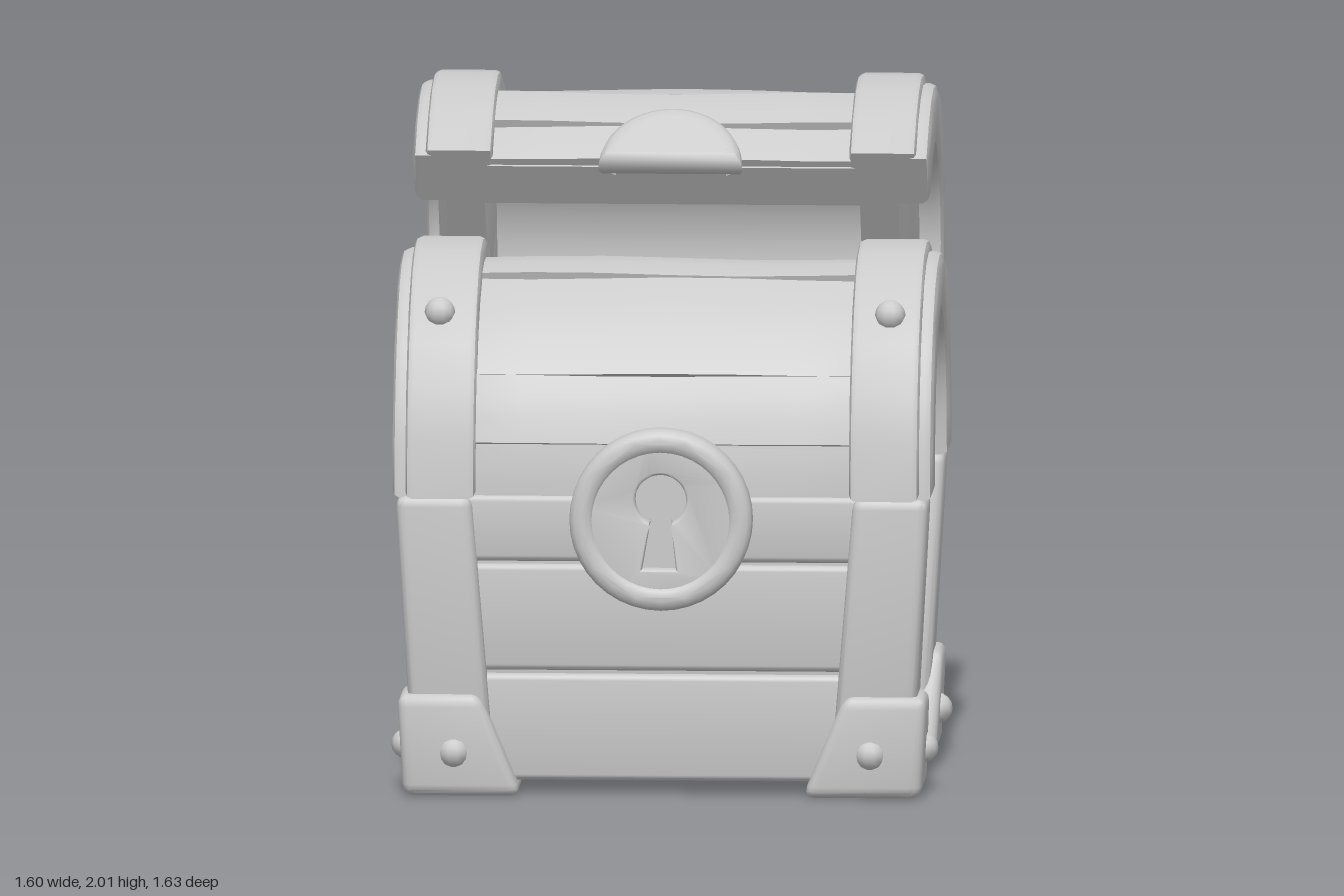
import * as THREE from 'three';
import { toCreasedNormals } from 'three/addons/utils/BufferGeometryUtils.js';
import { RoundedBoxGeometry } from 'three/addons/geometries/RoundedBoxGeometry.js';

const CZ = 0.14; // middle of the chest body in z
const grey = new THREE.MeshStandardMaterial({ color: 0xcccccc });

function add(parent, name, geometry, x = 0, y = 0, z = 0) {
  const mesh = new THREE.Mesh(geometry, grey);
  mesh.name = name;
  mesh.position.set(x, y, z);
  parent.add(mesh);
  return mesh;
}

// Rounded block whose bottom and top rectangles [x0, x1, z0, z1] may differ
function taperedBlock(y0, y1, bottom, top, radius) {
  const g = new RoundedBoxGeometry(bottom[1] - bottom[0], y1 - y0, bottom[3] - bottom[2], 2, radius);
  g.computeBoundingBox();
  const { min, max } = g.boundingBox;
  const p = g.attributes.position;
  const mix = THREE.MathUtils.lerp;
  for (let i = 0; i < p.count; i++) {
    const u = (p.getX(i) - min.x) / (max.x - min.x);
    const v = (p.getY(i) - min.y) / (max.y - min.y);
    const w = (p.getZ(i) - min.z) / (max.z - min.z);
    p.setXYZ(i,
      mix(mix(bottom[0], top[0], v), mix(bottom[1], top[1], v), u),
      mix(y0, y1, v),
      mix(mix(bottom[2], top[2], v), mix(bottom[3], top[3], v), w));
  }
  return toCreasedNormals(g, 0.7);
}

// Sector of a slightly squared elliptical arch, extruded along x, centred on x = 0
function archGeometry(t0, t1, segments, outer, inner, width, bevel, steps = 1) {
  const full = (c) => Math.sign(c) * Math.abs(c) ** 0.94;
  const arc = ([a, b]) => Array.from({ length: segments + 1 }, (_, i) => {
    const t = t0 + (t1 - t0) * i / segments;
    return new THREE.Vector2(a * full(Math.cos(t)), b * full(Math.sin(t)));
  });
  const shape = new THREE.Shape([...arc(outer), ...arc(inner).reverse()]);
  const g = new THREE.ExtrudeGeometry(shape, {
    depth: width - 2 * bevel, steps, bevelThickness: bevel, bevelSize: bevel,
    bevelOffset: -bevel, bevelSegments: 2,
  });
  g.translate(0, 0, bevel - width / 2);
  g.rotateY(-Math.PI / 2);
  return g;
}

// Uneven, hand-cut surface for the planks
function wobble(g, amount, seed) {
  const p = g.attributes.position;
  for (let i = 0; i < p.count; i++) {
    const x = p.getX(i), y = p.getY(i), z = p.getZ(i);
    const s = 1 + amount * Math.sin(6 * x + 4 * y + 3 * z + seed * 2.3);
    p.setXYZ(i, x, y * s, z * s);
  }
  return g;
}

function rivet(parent, x, y, z) {
  add(parent, 'rivet', new THREE.SphereGeometry(0.045, 10, 8), x, y, z);
}

// Arched lid, hollow underneath; its origin is the middle of the rim
function makeLid(name) {
  const lid = new THREE.Group();
  lid.name = name;
  const arch = (...args) => toCreasedNormals(archGeometry(0, Math.PI, 14, ...args), 0.6);
  const breaks = [0, 0.23, 0.58, 1.3, 1.84, 2.52, 2.91, Math.PI];
  for (let i = 0; i < breaks.length - 1; i++) {
    const bump = 0.01 * (i % 2);
    const g = archGeometry(breaks[i] + 0.008, breaks[i + 1] - 0.008, 3,
      [0.56 + bump, 0.617 + bump], [0.4, 0.48], 1.24, 0.012, 6);
    add(lid, 'lidPlank', toCreasedNormals(wobble(g, 0.008, i), 0.6));
  }
  add(lid, 'lidLining', arch([0.535, 0.595], [0.39, 0.47], 1.22, 0.005));
  for (const side of [-1, 1]) {
    // band with a lower step on its outer edge
    add(lid, 'lidBand', arch([0.595, 0.69], [0.4, 0.49], 0.205, 0.02), side * 0.65);
    add(lid, 'lidBandStep', arch([0.575, 0.655], [0.4, 0.49], 0.1, 0.025), side * 0.742);
    // horizontal end planks, each as wide as the arch allows
    [[0, 0.165, 0.5], [0.175, 0.33, 0.43], [0.34, 0.54, 0.3]].forEach(([y0, y1, half], i) => {
      const g = new RoundedBoxGeometry(0.07, y1 - y0, 2 * half, 2, 0.015);
      const plank = add(lid, 'lidEndPlank', g, side * (0.685 + 0.008 * (i % 2)), (y0 + y1) / 2, 0);
      plank.rotation.x = 0.02 * (i - 1);
    });
    add(lid, 'lidEndLining', arch([0.45, 0.53], [0.01, 0.01], 0.12, 0.002), side * 0.635);
  }
  return lid;
}

function makeBase() {
  const base = new THREE.Group();
  base.name = 'base';
  base.position.z = CZ;
  // three courses of planks around a core, widening upwards
  const at = (y, inset) => {
    const x = 0.68 + 0.035 * y - inset, z = 0.525 + 0.035 * y - inset;
    return [-x, x, -z, z];
  };
  add(base, 'core', taperedBlock(0.06, 0.86, at(0.06, 0.03), at(0.86, 0.03), 0.01));
  [[0.04, 0.355, 0], [0.365, 0.68, 0.012], [0.69, 0.885, 0]].forEach(([y0, y1, inset]) =>
    add(base, 'plankCourse', taperedBlock(y0, y1, at(y0, inset), at(y1, inset), 0.018)));

  for (const sx of [-1, 1]) {
    for (const sz of [-1, 1]) {
      const rect = (xi, xo, zi, zo) => [
        ...[sx * xi, sx * xo].sort((a, b) => a - b),
        ...[sz * zi, sz * zo].sort((a, b) => a - b)];
      add(base, 'cornerPost', taperedBlock(0.1, 0.885,
        rect(0.495, 0.735, 0.325, 0.565), rect(0.56, 0.78, 0.395, 0.6), 0.03));
      // corner foot sloping in towards the post
      add(base, 'cornerFoot', taperedBlock(0, 0.3,
        rect(0.41, 0.76, 0.255, 0.6), rect(0.535, 0.775, 0.38, 0.605), 0.035));
      rivet(base, sx * 0.61, 0.13, sz * 0.585);
      rivet(base, sx * 0.757, 0.13, sz * 0.41);
    }
  }
  return base;
}

// Round lock plate with a raised rim and a keyhole
function makeLock() {
  const lock = new THREE.Group();
  lock.name = 'lock';
  lock.position.set(0, 0.83, 0);
  const disc = new THREE.Shape().absarc(0, 0, 0.25, 0, Math.PI * 2);
  const hole = new THREE.Path();
  hole.moveTo(-0.055, -0.145);
  hole.lineTo(0.045, -0.145);
  hole.lineTo(0.03, 0);
  hole.absarc(0, 0.06, 0.075, -1.1, Math.PI + 1.1, false);
  hole.lineTo(-0.03, 0);
  hole.closePath();
  disc.holes.push(hole);
  const bevelled = (shape, depth, b) => toCreasedNormals(new THREE.ExtrudeGeometry(shape, {
    depth, curveSegments: 20, bevelThickness: b, bevelSize: b, bevelOffset: -b, bevelSegments: 3,
  }), 0.7);
  add(lock, 'lockPlate', bevelled(disc, 0.09, 0.008), 0, 0, 0.71);
  const rim = new THREE.Shape().absarc(0, 0, 0.268, 0, Math.PI * 2);
  rim.holes.push(new THREE.Path().absarc(0, 0, 0.195, 0, Math.PI * 2));
  add(lock, 'lockRim', bevelled(rim, 0.05, 0.03), 0, 0, 0.74);
  const back = new THREE.CylinderGeometry(0.24, 0.24, 0.1, 24).rotateX(Math.PI / 2);
  add(lock, 'lockBack', back, 0, 0, 0.71);
  return lock;
}

export function createModel() {
  const chest = new THREE.Group();
  chest.name = 'chest';
  chest.add(makeBase(), makeLock());

  // lid resting on the base
  const closedLid = makeLid('closedLid');
  closedLid.position.set(0, 0.88, CZ);
  for (const side of [-1, 1]) rivet(closedLid, side * 0.66, 0.525, 0.4);
  chest.add(closedLid);

  // second lid, swung open about the back edge
  const openLid = makeLid('openLid');
  openLid.position.set(0, 1.342, -0.118);
  openLid.rotation.x = -0.953;
  openLid.scale.set(0.955, 1.05, 1.025);
  // half-round hasp with a softly domed face
  const hasp = new THREE.Shape().absarc(0, 0, 0.22, 0, Math.PI);
  const haspGeometry = new THREE.ExtrudeGeometry(hasp, {
    depth: 0.02, curveSegments: 14, bevelThickness: 0.035, bevelSize: 0.05, bevelOffset: -0.05, bevelSegments: 3,
  });
  add(openLid, 'hasp', toCreasedNormals(haspGeometry, 0.7), 0, -0.025, 0.545);
  chest.add(openLid);

  // hinges at the back edge
  for (const side of [-1, 1]) {
    const barrel = new THREE.CylinderGeometry(0.045, 0.045, 0.28, 10).rotateZ(Math.PI / 2);
    add(chest, 'hingeBarrel', toCreasedNormals(barrel, 0.8), side * 0.34, 0.85, -0.46);
    add(chest, 'hingeLeaf', new RoundedBoxGeometry(0.2, 0.1, 0.04, 2, 0.012), side * 0.34, 0.8, -0.425);
  }
  return chest;
}
